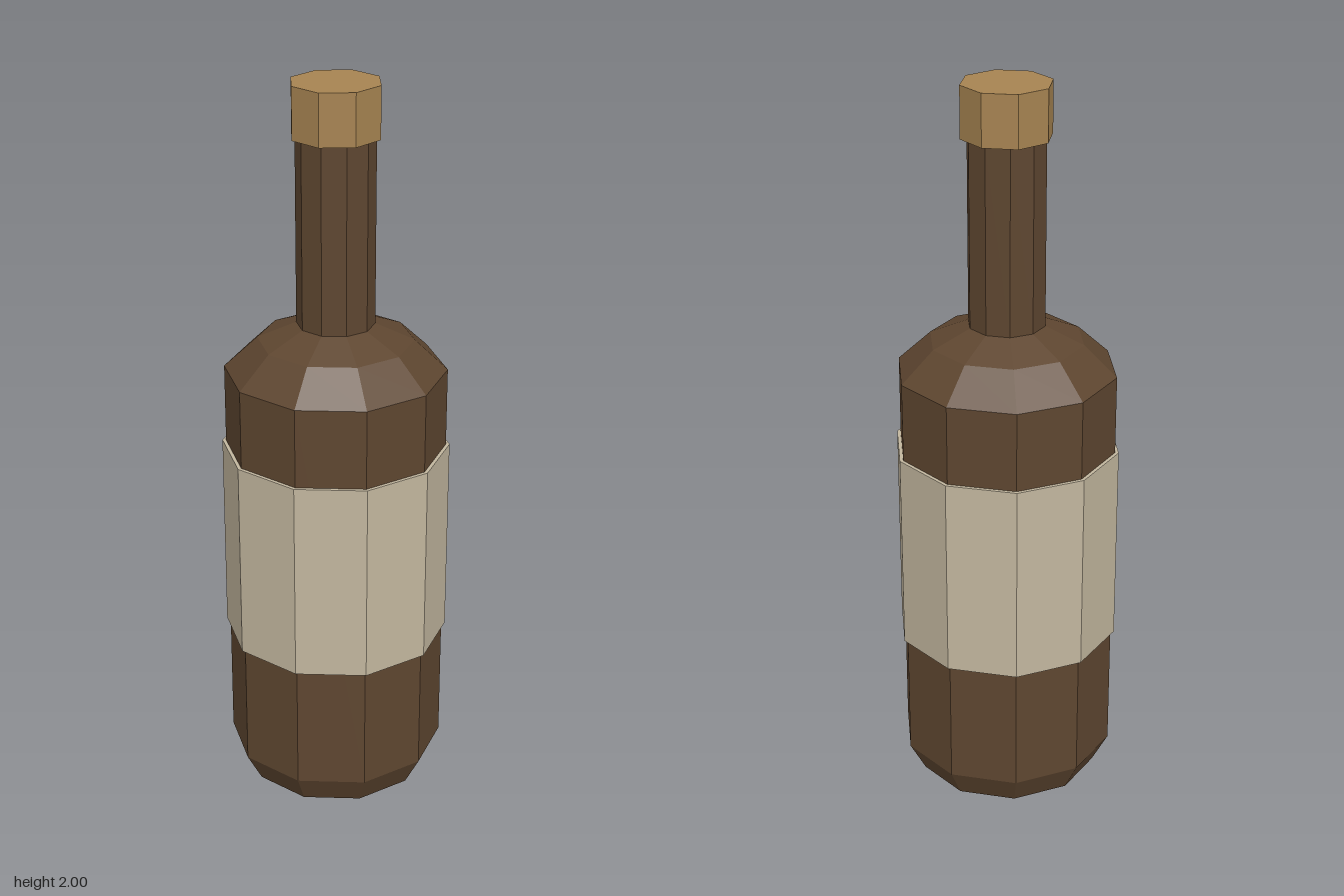
import * as THREE from 'three';

const flat = (name, color) => {
  const material = new THREE.MeshStandardMaterial({ color, flatShading: true });
  material.name = name;
  return material;
};

export function createModel() {
  const group = new THREE.Group();
  group.name = 'bottle';
  const glass = flat('brown glass', 0x5e4630);
  const paper = flat('cream paper', 0xc2b69e);
  const cork = flat('tan cork', 0xa68351);

  const add = (name, geometry, material, y = 0) => {
    const mesh = new THREE.Mesh(geometry, material);
    mesh.name = name;
    mesh.position.y = y;
    group.add(mesh);
  };

  // Ten-sided glass: bevelled base, straight wall, shoulder and neck
  const profile = [
    [0, 0], [0.255, 0], [0.3, 0.085], [0.3, 1.22],
    [0.21, 1.305], [0.105, 1.35], [0.105, 1.87], [0, 1.87],
  ].map(([r, y]) => new THREE.Vector2(r, y));
  add('glassBody', new THREE.LatheGeometry(profile, 10), glass);

  // Paper band standing slightly proud of the wall
  add('label', new THREE.CylinderGeometry(0.31, 0.31, 0.56, 10), paper, 0.72);

  // Eight-sided stopper
  add('stopper', new THREE.CylinderGeometry(0.122, 0.122, 0.14, 8), cork, 1.93);

  return group;
}
